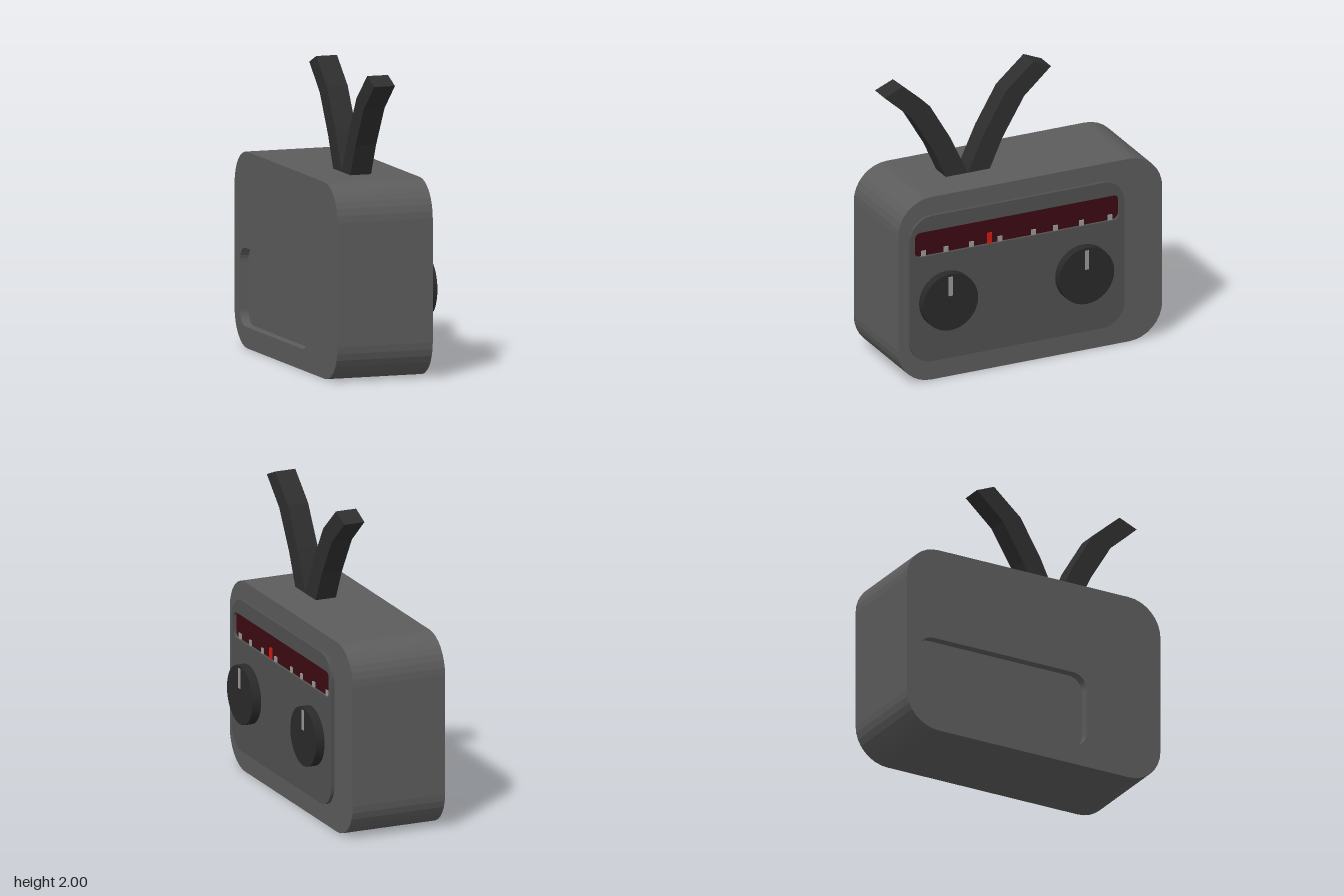
import * as THREE from 'three';

// Rounded rectangle from two corners
function roundedRect(x0, y0, x1, y1, r, Type = THREE.Shape) {
  const s = new Type();
  s.moveTo(x0 + r, y0);
  s.absarc(x1 - r, y0 + r, r, -Math.PI / 2, 0, false);
  s.absarc(x1 - r, y1 - r, r, 0, Math.PI / 2, false);
  s.absarc(x0 + r, y1 - r, r, Math.PI / 2, Math.PI, false);
  s.absarc(x0 + r, y0 + r, r, Math.PI, Math.PI * 1.5, false);
  return s;
}

export function createModel() {
  const model = new THREE.Group();
  model.name = 'radio';

  // Parts are drawn facing +z, then the radio is turned so its dial faces +x
  const radio = new THREE.Group();
  radio.name = 'radioParts';
  radio.rotation.y = Math.PI / 2;
  model.add(radio);

  const mat = (color) => new THREE.MeshStandardMaterial({ color });
  const bodyMat = mat(0x5c5c5c);
  const panelMat = mat(0x505050);
  const darkMat = mat(0x2e2e2e);
  const knobMat = mat(0x2a2a2a);
  const dialMat = mat(0x3c0a12);
  const markMat = mat(0x999999);
  const redMat = mat(0xd01a10);

  function add(name, geometry, material, x = 0, y = 0, z = 0) {
    const mesh = new THREE.Mesh(geometry, material);
    mesh.name = name;
    mesh.position.set(x, y, z);
    radio.add(mesh);
    return mesh;
  }
  const slab = (name, shape, z0, z1, material) =>
    add(name, new THREE.ExtrudeGeometry(shape, { depth: z1 - z0, bevelEnabled: false, curveSegments: 4 }),
      material, 0, 0, z0);

  // Body, with a shallow battery pocket in the back
  const outline = () => roundedRect(-0.96, 0, 0.96, 1.3, 0.24);
  slab('body', outline(), -0.32, 0.285, bodyMat);
  const back = outline();
  back.holes.push(roundedRect(-0.4, 0.14, 0.86, 0.66, 0.1, THREE.Path));
  slab('backShell', back, -0.38, -0.32, bodyMat);

  // Face panel with a window for the tuning dial
  const panel = roundedRect(-0.885, 0.14, 0.675, 1.175, 0.16);
  panel.holes.push(roundedRect(-0.85, 0.895, 0.635, 1.07, 0.04, THREE.Path));
  slab('facePanel', panel, 0.285, 0.308, panelMat);
  slab('tuningDial', roundedRect(-0.85, 0.895, 0.635, 1.07, 0.04), 0.28, 0.289, dialMat);

  // Frequency marks and tuning needle
  for (const x of [-0.78, -0.617, -0.43, -0.225, 0.02, 0.18, 0.37, 0.575]) {
    add('dialMark', new THREE.BoxGeometry(0.032, 0.037, 0.012), markMat, x, 0.9135, 0.291);
  }
  add('tuningNeedle', new THREE.BoxGeometry(0.032, 0.075, 0.014), redMat, -0.3, 0.9325, 0.291);

  // Knobs with pointer lines
  for (const x of [-0.62, 0.37]) {
    const knob = add('knob', new THREE.CylinderGeometry(0.2, 0.2, 0.07, 32), knobMat, x, 0.565, 0.335);
    knob.rotation.x = Math.PI / 2;
    add('knobPointer', new THREE.BoxGeometry(0.03, 0.135, 0.02), markMat, x, 0.678, 0.364);
  }

  // Pair of bent aerials, mirrored about their shared foot
  const bend = [[0, 1.3], [0.125, 1.57], [0.275, 1.825], [0.475, 2],
    [0.605, 1.945], [0.41, 1.77], [0.255, 1.51], [0.16, 1.3]];
  for (const side of [-1, 1]) {
    const points = bend.map(([x, y]) => new THREE.Vector2(-0.33 + side * x, y));
    slab('aerial', new THREE.Shape(points), -0.115, 0.03, darkMat);
  }

  return model;
}
